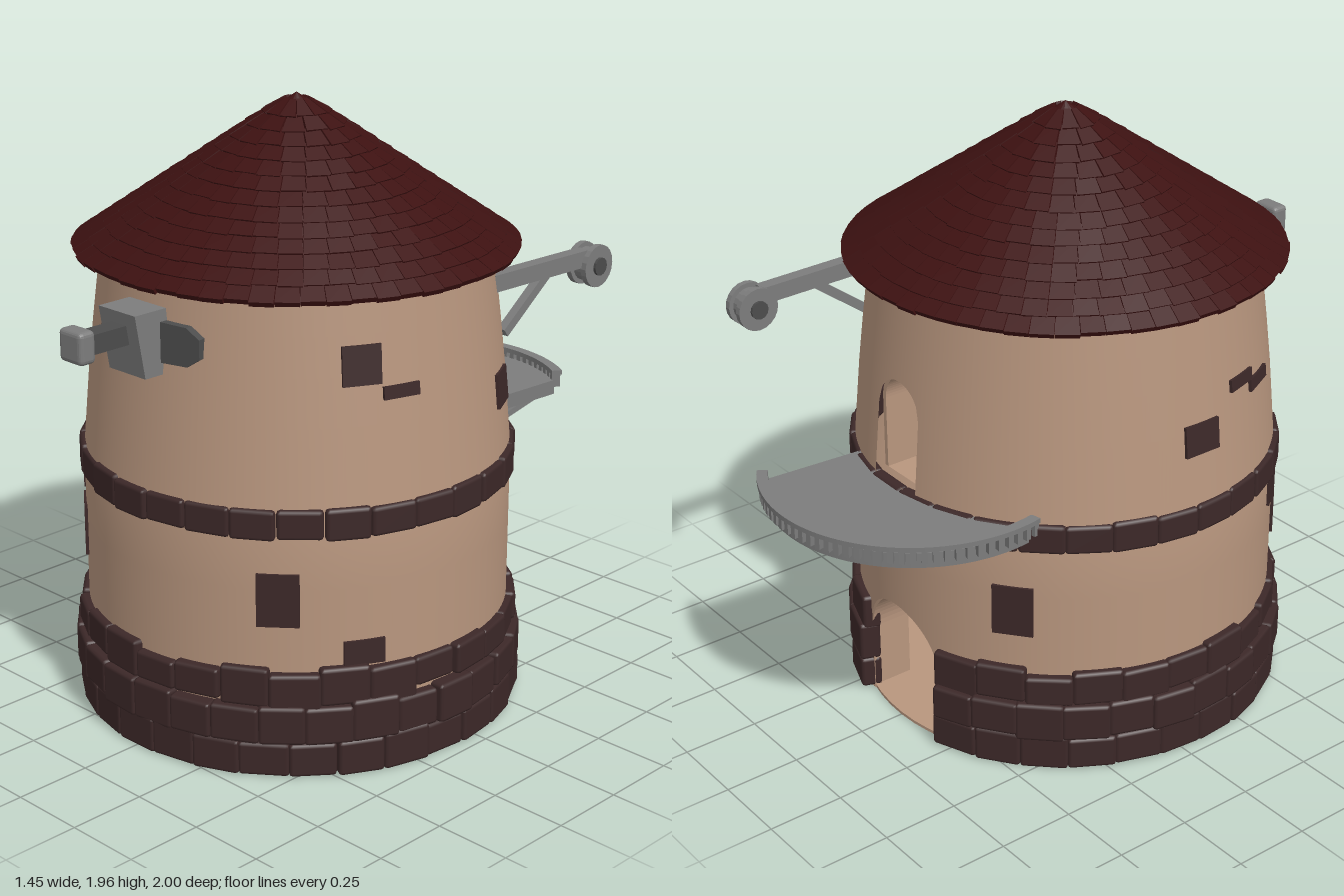
import * as THREE from 'three';
import { mergeGeometries } from 'three/addons/utils/BufferGeometryUtils.js';
import { RoundedBoxGeometry } from 'three/addons/geometries/RoundedBoxGeometry.js';

const CZ = 0.08; // tower axis sits slightly forward
const rad = THREE.MathUtils.degToRad;
const mat = (color, extra = {}) => new THREE.MeshStandardMaterial({ color, ...extra });
const plaster = mat(0xb8967e, { side: THREE.DoubleSide });
const stone = mat(0x3c2828);
const tile = mat(0x3d1111, { flatShading: true });
const metal = mat(0x7c7c7c, { flatShading: true });
const darkMetal = mat(0x4c4c4c, { flatShading: true });

let seed = 7;
const rnd = () => (seed = (seed * 16807) % 2147483647) / 2147483647;
const jitter = (a) => (rnd() - 0.5) * 2 * a;
const wallR = (y) => (y < 0.8 ? 0.68 : 0.68 - 0.07 * ((y - 0.8) / 0.68) ** 1.3);

function add(parent, name, geo, material, x = 0, y = 0, z = 0) {
  const m = new THREE.Mesh(geo, material);
  m.name = name;
  m.position.set(x, y, z);
  parent.add(m);
  return m;
}

// square bar between two points
function bar(parent, name, a, b, w, h = w) {
  const p = new THREE.Vector3(...a), q = new THREE.Vector3(...b);
  const m = add(parent, name, new THREE.BoxGeometry(w, h, p.distanceTo(q)), metal);
  m.position.copy(p).add(q).multiplyScalar(0.5);
  m.lookAt(q);
  return m;
}

// place a geometry on the tower at angle t (0 = front, +90 deg = +x)
const onRing = (geo, t, y, r) => geo.translate(0, y, r).rotateY(t).translate(0, 0, CZ);

// plaster shell with an arched doorway and an arched balcony opening at the back
function wallGeometry() {
  const N = 320, pos = [], nor = [];
  const arch = (k, half, spring, rise) => spring + rise * Math.sqrt(Math.max(0, 1 - (k / half) ** 2));
  const put = (k, y) => {
    const t = Math.PI + (k / N) * Math.PI * 2, r = wallR(y);
    pos.push(r * Math.sin(t), y, CZ + r * Math.cos(t));
    const n = new THREE.Vector3(Math.sin(t), y < 0.8 ? 0 : 0.1, Math.cos(t)).normalize();
    nor.push(n.x, n.y, n.z);
  };
  for (let k = -N / 2; k < N / 2; k++) {
    const door = Math.abs(k + 0.5) < 14, upper = Math.abs(k + 0.5) < 8;
    const levels = (j) => [door ? arch(j, 14, 0.235, 0.185) : 0, 0.6, 0.8, 0.86,
      upper ? arch(j, 8, 1.1, 0.1) : 1.1, 1.25, 1.37, 1.49];
    const a = levels(k), b = levels(k + 1);
    for (let i = 0; i < a.length - 1; i++) {
      if (upper && i === 3) continue;
      put(k, a[i]); put(k + 1, b[i]); put(k + 1, b[i + 1]);
      put(k, a[i]); put(k + 1, b[i + 1]); put(k, a[i + 1]);
    }
  }
  const g = new THREE.BufferGeometry();
  g.setAttribute('position', new THREE.Float32BufferAttribute(pos, 3));
  g.setAttribute('normal', new THREE.Float32BufferAttribute(nor, 3));
  return g;
}

// arched lining that gives an opening its thickness
function jamb(half, bottom, spring, depth) {
  const outline = (path, h) => path.moveTo(-h, bottom).lineTo(h, bottom).lineTo(h, spring)
    .absarc(0, spring, h, 0, Math.PI, false).lineTo(-h, bottom);
  const s = outline(new THREE.Shape(), half + 0.015);
  s.holes.push(outline(new THREE.Path(), half));
  return new THREE.ExtrudeGeometry(s, { depth, bevelEnabled: false, curveSegments: 16 });
}

// one course of rounded stones, optionally leaving the doorway free
function course(y0, y1, r, depth, count, gap, wobble) {
  const out = [], step = (Math.PI * 2) / count, off = jitter(step / 2);
  const start = gap ? Math.PI + gap : off, span = gap ? Math.PI * 2 - 2 * gap : Math.PI * 2;
  for (let i = 0; i < count; i++) {
    const t = start + ((i + 0.5) * span) / count;
    const w = ((r * span) / count) * (1.0 + jitter(0.05));
    const h = y1 - y0 + jitter(wobble);
    const g = new RoundedBoxGeometry(w, h, depth, 1, 0.012);
    g.rotateY(jitter(0.03));
    out.push(onRing(g, t, Math.max((y0 + y1) / 2 + jitter(wobble / 2), h / 2), r - depth / 2 + jitter(0.006)));
  }
  return mergeGeometries(out);
}

// overlapping shingles in rings
function roofGeometry() {
  const rows = 14, R = 0.69, H = 0.47, out = [], len = (Math.hypot(R, H) / rows) * 1.3;
  for (let k = 0; k < rows - 1; k++) {
    const r = R * (1 - k / rows), y = 1.485 + (H * k) / rows;
    const n = Math.max(12, Math.round(r * 85)), w = (2 * Math.PI * r) / n;
    const taper = Math.max(0.2, (r - len * 0.82) / r);
    for (let i = 0; i < n; i++) {
      const g = new THREE.BoxGeometry(w * 0.98, 0.018, len);
      const p = g.attributes.position;
      for (let v = 0; v < p.count; v++) if (p.getZ(v) < 0) p.setX(v, p.getX(v) * taper);
      g.translate(0, 0.006, -len / 2 + jitter(0.004)).rotateX(rad(30) + jitter(0.02));
      out.push(onRing(g, ((i + (k % 2) / 2) / n) * Math.PI * 2, y, r));
    }
  }
  return mergeGeometries(out);
}

// flat balcony piece: x and -z outline, lifted from y0 to y1
function slab(shape, y0, y1) {
  return new THREE.ExtrudeGeometry(shape, { depth: y1 - y0, bevelEnabled: false, curveSegments: 40 })
    .rotateX(-Math.PI / 2).translate(0, y0, 0);
}

function balcony() {
  const g = new THREE.Group();
  g.name = 'balcony';
  const a0 = rad(55), a1 = rad(191);
  const floor = new THREE.Shape().absarc(0, 0.5, 0.475, a0, a1, false)
    .absarc(0, -CZ, 0.66, rad(133), rad(68), true);
  add(g, 'balconyFloor', slab(floor, 0.805, 0.855), metal);
  const rim = new THREE.Shape().absarc(0, 0.5, 0.5, a0, a1, false).absarc(0, 0.5, 0.465, a1, a0, true);
  add(g, 'balconyRim', slab(rim, 0.872, 0.888), metal);
  const posts = [];
  for (let i = 0; i <= 34; i++) {
    const a = a0 + 0.02 + ((a1 - a0 - 0.04) * i) / 34;
    posts.push(new THREE.BoxGeometry(0.03, 0.045, 0.018).rotateY(a)
      .translate(0.48 * Math.cos(a), 0.852, -0.5 - 0.48 * Math.sin(a)));
  }
  add(g, 'balconyDentils', mergeGeometries(posts), metal);
  for (let i = 0; i < 8; i++) {
    const f = i / 7, a = rad(60 + 122 * f), x = 0.1 - 0.28 * f;
    bar(g, 'balconyStrut', [x, 0.645, CZ - Math.sqrt(0.67 ** 2 - x * x)],
      [0.45 * Math.cos(a), 0.81, -0.5 - 0.45 * Math.sin(a)], 0.02);
  }
  return g;
}

function hoist() {
  const g = new THREE.Group();
  g.name = 'hoist';
  const x = 0.49, wheelZ = -0.77, wheelY = 1.335;
  bar(g, 'hoistBeam', [x, 1.375, -0.27], [x, 1.365, -0.74], 0.045, 0.055);
  bar(g, 'hoistBrace', [x, 1.2, -0.34], [x, 1.35, -0.54], 0.03);
  add(g, 'pulley', new THREE.CylinderGeometry(0.055, 0.055, 0.05, 20).rotateZ(Math.PI / 2), metal, x, wheelY, wheelZ);
  for (const s of [-1, 1]) {
    add(g, 'pulleyFlange', new THREE.CylinderGeometry(0.07, 0.07, 0.02, 20).rotateZ(Math.PI / 2), metal, x + s * 0.03, wheelY, wheelZ);
    add(g, 'pulleyHub', new THREE.CylinderGeometry(0.03, 0.03, 0.012, 12).rotateZ(Math.PI / 2), darkMetal, x + s * 0.043, wheelY, wheelZ);
  }
  return g;
}

function frontBracket() {
  const g = new THREE.Group();
  g.name = 'frontBracket';
  // side profile in z and y, extruded across x
  const s = new THREE.Shape().moveTo(0.68, 1.22).lineTo(0.785, 1.22).lineTo(0.82, 1.42).lineTo(0.7, 1.42);
  add(g, 'bracketBody', new THREE.ExtrudeGeometry(s, { depth: 0.16, bevelEnabled: false })
    .rotateY(-Math.PI / 2).translate(0.08, 0, 0), metal);
  const wing = new THREE.Shape().moveTo(-0.02, -0.065).lineTo(0.17, -0.06).lineTo(0.215, -0.03)
    .lineTo(0.215, 0.03).lineTo(0.17, 0.06).lineTo(-0.02, 0.065);
  for (const side of [0, 1]) {
    const w = add(g, 'bracketWing', new THREE.ExtrudeGeometry(wing, { depth: 0.06, bevelEnabled: false })
      .translate(0, 0, -0.03), darkMetal, 0, 1.32, 0.71);
    w.rotation.y = side ? Math.PI - 0.2 : 0.2;
  }
  add(g, 'bracketRod', new THREE.BoxGeometry(0.065, 0.06, 0.16), darkMetal, 0, 1.35, 0.87);
  add(g, 'bracketEnd', new RoundedBoxGeometry(0.1, 0.1, 0.06, 2, 0.015), metal, 0, 1.35, 0.97);
  return g;
}

export function createModel() {
  const model = new THREE.Group();
  model.name = 'tower';

  add(model, 'wall', wallGeometry(), plaster);
  add(model, 'floor', new THREE.CylinderGeometry(0.675, 0.675, 0.01, 64), plaster, 0, 0.005, CZ);
  add(model, 'doorJamb', jamb(0.182, 0, 0.235, 0.14), plaster, 0, 0, -0.572);
  add(model, 'balconyDoorJamb', jamb(0.1, 0.86, 1.1, 0.12), plaster, 0, 0, -0.545);

  // stone courses
  const base = [course(0, 0.115, 0.715, 0.07, 27, 0.28, 0.008), course(0.11, 0.235, 0.72, 0.07, 28, 0.28, 0.012),
    course(0.23, 0.34, 0.705, 0.06, 26, 0.28, 0.02)];
  add(model, 'stoneBase', mergeGeometries(base), stone);
  add(model, 'stoneBand', course(0.762, 0.86, 0.692, 0.045, 30, 0, 0.006), stone);

  // exposed stones: angle, height, width, tall
  const patches = [[62, 1.28, 0.12, 0.12], [73, 1.19, 0.12, 0.04], [118, 1.07, 0.12, 0.11], [40, 0.57, 0.13, 0.17],
    [62, 0.39, 0.13, 0.08], [-39, 0.57, 0.13, 0.17], [-51, 0.71, 0.12, 0.1], [-63, 1.15, 0.13, 0.04],
    [-73, 1.19, 0.12, 0.04], [-90, 1.07, 0.13, 0.1], [-142, 0.55, 0.13, 0.17]];
  add(model, 'exposedStones', mergeGeometries(patches.map(([a, y, w, h]) =>
    onRing(new THREE.BoxGeometry(w, h, 0.03).rotateX(y > 0.9 ? -0.1 : 0), rad(a), y, wallR(y) - 0.008))), stone);

  // roof
  add(model, 'roofShingles', roofGeometry(), tile);
  add(model, 'roofCore', new THREE.ConeGeometry(0.665, 0.45, 64), tile, 0, 1.705, CZ);
  add(model, 'roofCap', new THREE.ConeGeometry(0.075, 0.052, 16), tile, 0, 1.929, CZ);

  model.add(balcony(), hoist(), frontBracket());
  return model;
}
